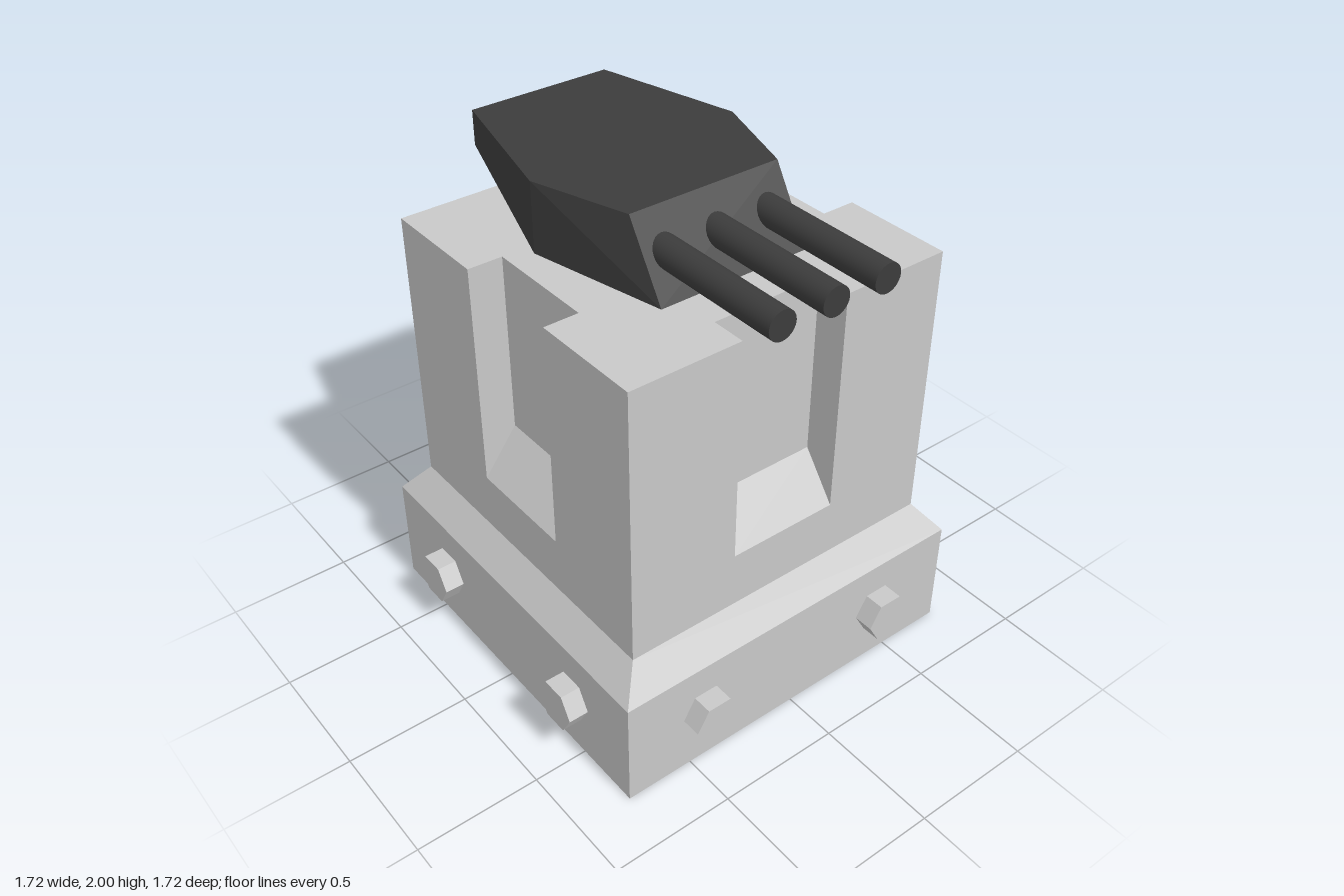
import * as THREE from 'three';
import { ConvexGeometry } from 'three/addons/geometries/ConvexGeometry.js';

const stone = new THREE.MeshStandardMaterial({ color: 0xc8c8c8 });
stone.name = 'lightGrey';
const gunmetal = new THREE.MeshStandardMaterial({ color: 0x3c3c3c });
gunmetal.name = 'darkGrey';

// Give every face its own normals
function faceted(geometry) {
  const g = geometry.index ? geometry.toNonIndexed() : geometry;
  g.computeVertexNormals();
  return g;
}

function add(parent, name, geometry, material, x = 0, y = 0, z = 0) {
  const mesh = new THREE.Mesh(geometry, material);
  mesh.name = name;
  mesh.position.set(x, y, z);
  parent.add(mesh);
  return mesh;
}

const BASE = 0.78, TOWER = 0.685, TOP = 1.72;
const SLOT_W = 0.23, SLOT_IN = 0.545, SLOT_LOW = 0.805, SLOT_HIGH = 0.99;

export function createModel() {
  const model = new THREE.Group();
  model.name = 'gunTower';

  // Square plinth with sloped shoulder and the solid foot of the tower
  const profile = [[0, 0], [BASE, 0], [BASE, 0.455], [TOWER, 0.575], [TOWER, SLOT_LOW]]
    .map(([r, y]) => new THREE.Vector2(r * Math.SQRT2, y));
  add(model, 'plinth', faceted(new THREE.LatheGeometry(profile, 4, Math.PI / 4)), stone);

  // Tower shaft: square plan with a slot in each side
  const plan = [];
  for (let k = 0; k < 4; k++) {
    for (const [x, y] of [[TOWER, -TOWER], [TOWER, -SLOT_W], [SLOT_IN, -SLOT_W], [SLOT_IN, SLOT_W], [TOWER, SLOT_W]]) {
      plan.push(new THREE.Vector2(x, y).rotateAround(new THREE.Vector2(), k * Math.PI / 2));
    }
  }
  const shaft = new THREE.ExtrudeGeometry(new THREE.Shape(plan), { depth: TOP - SLOT_LOW, bevelEnabled: false });
  shaft.rotateX(-Math.PI / 2);
  add(model, 'towerShaft', shaft, stone, 0, SLOT_LOW, 0);

  // Each side: sloped slot sill and two hexagonal bolts
  const run = TOWER - SLOT_IN, rise = SLOT_HIGH - SLOT_LOW;
  const sill = new THREE.PlaneGeometry(SLOT_W * 2, Math.hypot(run, rise));
  sill.rotateX(-Math.atan2(run, rise));
  const bolt = faceted(new THREE.CylinderGeometry(0.1, 0.1, 0.1, 6).rotateY(Math.PI / 6).rotateX(Math.PI / 2));
  for (let k = 0; k < 4; k++) {
    const side = new THREE.Group();
    side.name = 'towerSide';
    side.rotation.y = k * Math.PI / 2;
    add(side, 'slotSill', sill, stone, 0, (SLOT_LOW + SLOT_HIGH) / 2, (TOWER + SLOT_IN) / 2);
    for (const s of [-1, 1]) add(side, 'bolt', bolt, stone, s * 0.43, 0.24, 0.81);
    model.add(side);
  }

  // Wedge-shaped turret
  const corners = [];
  for (const s of [-1, 1]) {
    for (const [x, y, z] of [
      [-0.78, 2, 0.3], [-0.78, 1.86, 0.3], [-0.18, 2, 0.445],
      [-0.18, TOP, 0.445], [0.21, 2, 0.32], [0.38, TOP, 0.32],
    ]) corners.push(new THREE.Vector3(x, y, s * z));
  }
  add(model, 'turret', new ConvexGeometry(corners), gunmetal);

  // Three gun barrels pointing to +x
  const barrel = new THREE.CylinderGeometry(0.057, 0.057, 0.64, 24).rotateZ(-Math.PI / 2);
  for (const z of [-0.225, 0, 0.225]) add(model, 'gunBarrel', barrel, gunmetal, 0.54, 1.865, z);

  return model;
}
